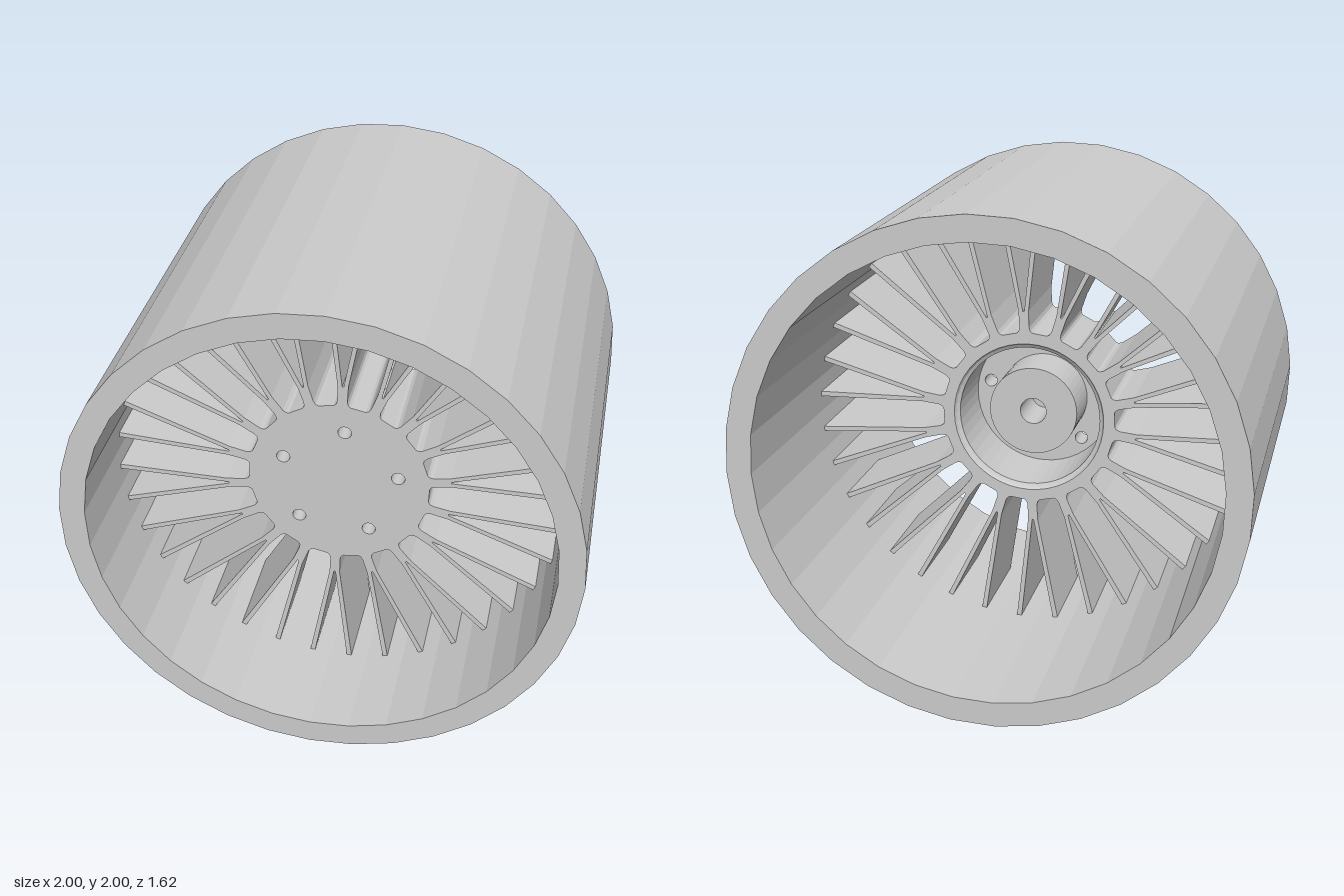
import * as THREE from 'three';

const RAD = Math.PI / 180;
const TILT = -2.5;          // whole wheel is turned slightly, in degrees
const PAIRS = 18;           // spoke pairs
const FRONT = 0.39, FLOOR = 0.27, BACK = -0.04;

// Point given by a radial axis (degrees), a distance along it and a sideways offset
function polar(deg, u, v = 0) {
  const c = Math.cos(deg * RAD), s = Math.sin(deg * RAD);
  return new THREE.Vector2(u * c - v * s, u * s + v * c);
}

function ring(radius, sides, start = 0, x = 0, y = 0) {
  const pts = [];
  for (let i = 0; i < sides; i++) {
    pts.push(polar(start + (i * 360) / sides, radius).add(new THREE.Vector2(x, y)));
  }
  return pts;
}

function extrude(shape, z0, z1) {
  const g = new THREE.ExtrudeGeometry(shape, { depth: z1 - z0, bevelEnabled: false, curveSegments: 12 });
  return g.translate(0, 0, z0);
}

// Hub outline with V-shaped spoke pairs and rounded gaps between them
function starShape() {
  const pts = [];
  const step = 360 / PAIRS, half = step / 2;
  const gapSide = [[0.36, 0.03], [0.366, 0.04], [0.38, 0.047], [0.45, 0.058], [0.905, 0.068]];
  for (let k = 0; k < PAIRS; k++) {
    const a = 90 + TILT + k * step;
    gapSide.forEach(([u, v]) => pts.push(polar(a - half, u, v)));
    pts.push(polar(a, 0.905, -0.07), polar(a, 0.45, -0.003));
    pts.push(polar(a, 0.45, 0.003), polar(a, 0.905, 0.07));
    [...gapSide].reverse().forEach(([u, v]) => pts.push(polar(a + half, u, -v)));
  }
  return new THREE.Shape(pts);
}

// Surface of revolution about the z axis, profile given as [radius, z]
function lathe(profile) {
  const g = new THREE.LatheGeometry(profile.map(([r, z]) => new THREE.Vector2(r, z)), 48);
  return g.rotateX(Math.PI / 2);
}

export function createModel() {
  const model = new THREE.Group();
  model.name = 'wheel';
  const wheel = new THREE.Group();
  wheel.name = 'wheelBody';
  wheel.position.y = 1;
  model.add(wheel);

  const material = new THREE.MeshStandardMaterial({ color: 0xcccccc });
  const creased = new THREE.MeshStandardMaterial({ color: 0xcccccc, side: THREE.DoubleSide, flatShading: true });
  const add = (name, geometry, mat = material) => {
    const mesh = new THREE.Mesh(geometry, mat);
    mesh.name = name;
    wheel.add(mesh);
  };

  // Wide faceted rim barrel
  const rim = new THREE.Shape(ring(1, 36, TILT));
  rim.holes.push(new THREE.Path(ring(0.9, 36, TILT)));
  add('rim', extrude(rim, -0.81, 0.81));

  // Front part of the spoked disc, with five bolt holes
  const front = starShape();
  for (let i = 0; i < 5; i++) {
    const c = polar(84 + i * 72, 0.242);
    front.holes.push(new THREE.Path(ring(0.027, 20, 0, c.x, c.y)));
  }
  add('spokedFace', extrude(front, FLOOR, FRONT));

  // Rear part of the spoked disc, open around the hub recess
  const rear = starShape();
  rear.holes.push(new THREE.Path(ring(0.315, 48)));
  add('spokedRear', extrude(rear, BACK, FLOOR));

  // Chamfered wall of the recess
  add('recessWall', lathe([[0.315, BACK], [0.308, BACK + 0.012], [0.295, BACK + 0.02], [0.295, FLOOR]]), creased);

  // Centre boss with a blind bore, standing in the recess
  const bossBack = 0.05;
  add('centreBoss', lathe([
    [0.185, FLOOR], [0.185, bossBack], [0.055, bossBack], [0.055, FLOOR],
  ]), creased);

  return model;
}
